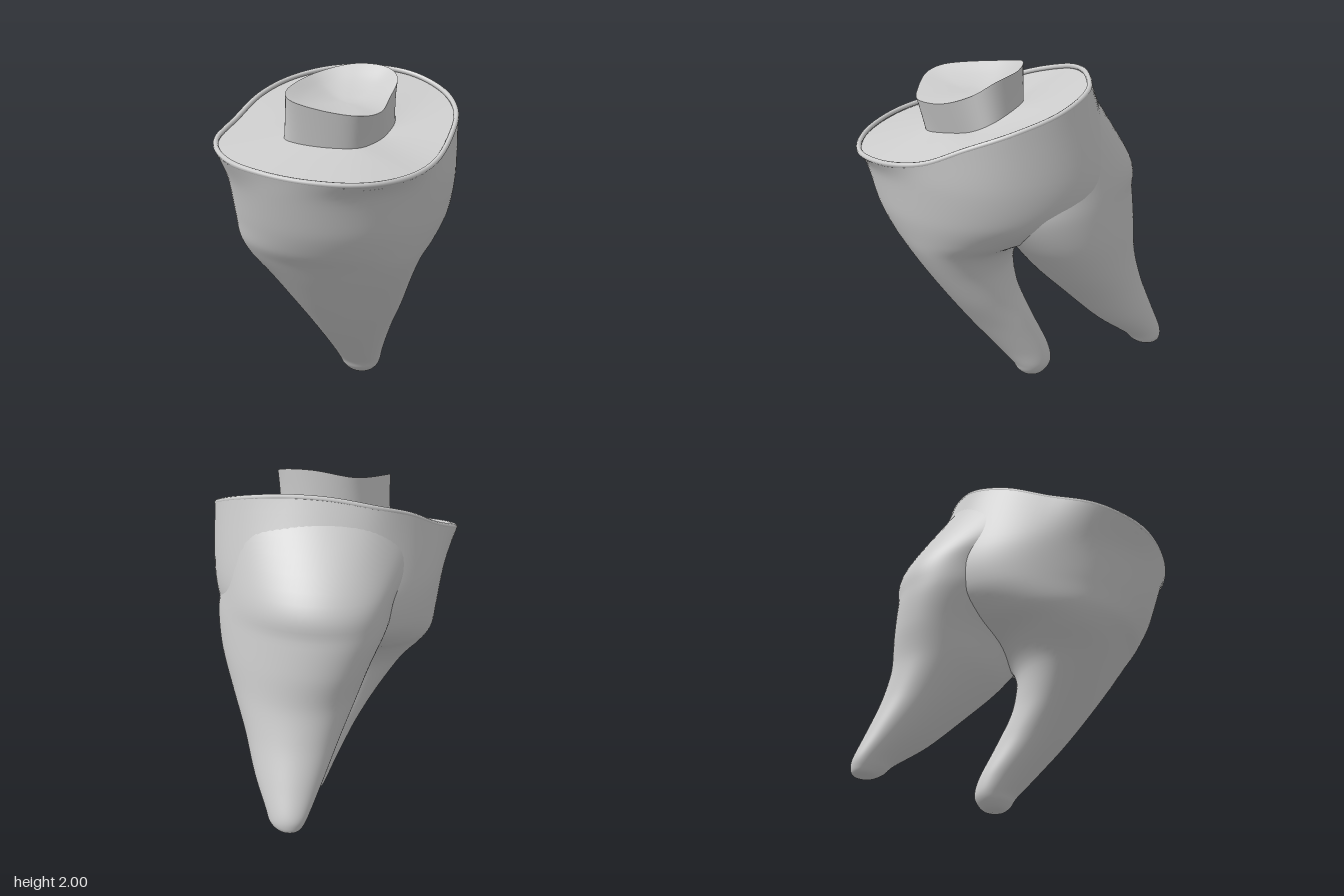
import * as THREE from 'three';

const N = 96; // points around every loop
const V = (x, y, z) => new THREE.Vector3(x, y, z);
const material = new THREE.MeshStandardMaterial({ color: 0xcccccc, side: THREE.DoubleSide });

// Skin a stack of loops; smoothed lengthwise when rows is larger than the stack
function loft(name, loops, rows) {
  const pos = [], idx = [];
  const columns = Array.from({ length: N }, (_, j) =>
    new THREE.CatmullRomCurve3(loops.map((l) => l[j]), false, 'catmullrom', 0.45));
  for (let i = 0; i <= rows; i++) {
    for (let j = 0; j < N; j++) pos.push(...columns[j].getPoint(i / rows).toArray());
  }
  for (let i = 0; i < rows; i++) {
    for (let j = 0; j < N; j++) {
      const k = (j + 1) % N;
      const a = i * N + j, b = i * N + k, c = a + N, d = b + N;
      idx.push(a, c, b, b, c, d);
    }
  }
  const g = new THREE.BufferGeometry();
  g.setAttribute('position', new THREE.Float32BufferAttribute(pos, 3));
  g.setIndex(idx);
  g.computeVertexNormals();
  const mesh = new THREE.Mesh(g, material);
  mesh.name = name;
  return mesh;
}

// Skewed ellipse from its extents; every loop starts at -x and turns towards -z
function oval([y, x0, x1, z0, z1, skew = 0]) {
  return Array.from({ length: N }, (_, j) => {
    const t = Math.PI + (j / N) * Math.PI * 2;
    return V((x0 + x1) / 2 + ((x1 - x0) / 2) * Math.cos(t), y,
      (z0 + z1) / 2 + ((z1 - z0) / 2) * Math.sin(t + skew));
  });
}

const closed = (points) => new THREE.CatmullRomCurve3(points, true);
const loop = (points) => closed(points).getSpacedPoints(N).slice(0, N);
const shrink = (pts, s, c, dy = 0) =>
  pts.map((p) => V(c.x + (p.x - c.x) * s, p.y + dy, c.z + (p.z - c.z) * s));

// Slanted rim: radius and height every 22.5 degrees about its centre
const rimCentre = V(0.06, 0, 0.13);
const rim = [
  [0.635, 1.79], [0.64, 1.86], [0.62, 1.91], [0.64, 1.92],
  [0.70, 1.89], [0.71, 1.82], [0.68, 1.74], [0.64, 1.65],
  [0.64, 1.55], [0.68, 1.51], [0.72, 1.50], [0.72, 1.51],
  [0.73, 1.53], [0.76, 1.56], [0.75, 1.61], [0.66, 1.69],
].map(([r, y], i) => {
  const t = Math.PI + (i * Math.PI) / 8;
  return V(rimCentre.x + r * Math.cos(t), y, rimCentre.z + r * Math.sin(t));
});

// Front root widening into the whole crown wall: y, x range, z range, skew
const frontRoot = [
  [0.0, -0.046, -0.044, -0.196, -0.194],
  [0.012, -0.11, 0.03, -0.25, -0.13],
  [0.05, -0.155, 0.075, -0.285, -0.09],
  [0.1, -0.175, 0.1, -0.3, -0.06],
  [0.2, -0.18, 0.15, -0.28, 0.03],
  [0.4, -0.18, 0.265, -0.21, 0.21, -0.15],
  [0.6, -0.22, 0.39, -0.14, 0.37, -0.28],
  [0.8, -0.31, 0.5, -0.11, 0.52, -0.28],
  [0.94, -0.44, 0.57, -0.17, 0.62, -0.2],
  [1.04, -0.55, 0.61, -0.38, 0.69, -0.06],
  [1.18, -0.63, 0.65, -0.6, 0.75, 0.05],
  [1.4, -0.65, 0.685, -0.66, 0.82, 0.06],
];
// Back root fading into the crown wall
const backRoot = [
  [0.14, -0.526, -0.524, -0.776, -0.774],
  [0.155, -0.59, -0.45, -0.83, -0.71],
  [0.19, -0.612, -0.39, -0.852, -0.67],
  [0.25, -0.62, -0.34, -0.85, -0.62],
  [0.4, -0.605, -0.17, -0.82, -0.46, 0],
  [0.6, -0.59, 0.0, -0.775, -0.28, -0.03],
  [0.8, -0.605, 0.18, -0.745, -0.13, -0.04],
  [1.0, -0.66, 0.34, -0.73, -0.03, 0],
  [1.2, -0.7, 0.45, -0.71, 0.12, 0.04],
  [1.4, -0.69, 0.48, -0.69, 0.28, 0.08],
];

// Central stump: outline at the base and at the uneven top
const stumpBase = loop([
  V(-0.2, 1.69, 0.1), V(-0.04, 1.77, -0.11), V(0.14, 1.77, -0.16), V(0.28, 1.7, -0.08),
  V(0.31, 1.64, 0.05), V(0.33, 1.62, 0.2), V(0.31, 1.61, 0.33), V(0.18, 1.61, 0.42),
  V(-0.02, 1.62, 0.47), V(-0.13, 1.63, 0.44),
]);
const stumpTop = loop([
  V(-0.18, 1.95, 0.07), V(-0.03, 1.995, -0.11), V(0.15, 1.985, -0.17), V(0.28, 1.94, -0.1),
  V(0.32, 1.85, 0.04), V(0.37, 1.8, 0.2), V(0.355, 1.8, 0.36), V(0.2, 1.82, 0.46),
  V(-0.02, 1.87, 0.52), V(-0.1, 1.9, 0.46),
]);

export function createModel() {
  const model = new THREE.Group();
  const rimCurve = closed(rim);
  const rimLoop = Array.from({ length: N }, (_, j) => rimCurve.getPoint(j / N));

  // Crown wall with its two roots
  model.add(loft('crownAndFrontRoot', [...frontRoot.map(oval), rimLoop], 72));
  model.add(loft('backRoot', [...backRoot.map(oval), shrink(rimLoop, 0.97, rimCentre, -0.03)], 60));

  // Thin raised lip around the rim
  const lipCurve = closed(shrink(rim, 0.98, rimCentre));
  const lip = new THREE.Mesh(new THREE.TubeGeometry(lipCurve, 128, 0.016, 8, true), material);
  lip.name = 'rimLip';
  model.add(lip);

  // Sloping shelf between lip and stump
  const shelfEdge = shrink(rimLoop, 0.965, rimCentre, -0.015);
  model.add(loft('shelf', [shelfEdge, stumpBase], 8));

  // Stump wall and its rounded dish
  const middle = V(0.11, 1.82, 0.17);
  const dish = (s) => stumpTop.map((p) => {
    const q = p.clone().lerp(middle, s);
    q.y = THREE.MathUtils.lerp(p.y, middle.y, 1 - (1 - s) ** 2);
    return q;
  });
  model.add(loft('stumpWall', [stumpBase, stumpTop], 8));
  model.add(loft('stumpTop', [0, 0.25, 0.5, 0.75, 1].map(dish), 16));
  return model;
}
